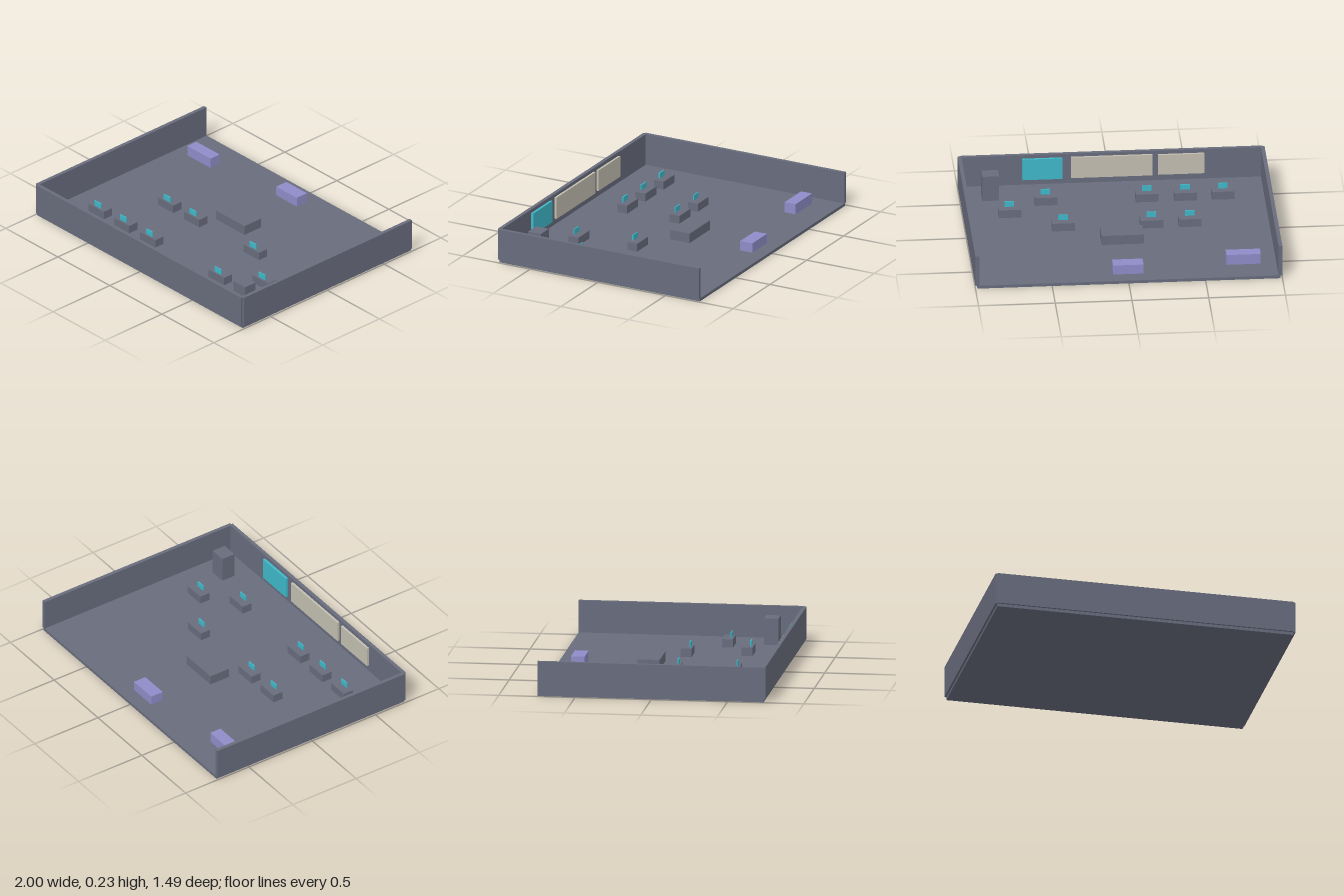
import * as THREE from 'three';

const mat = (name, color) => {
  const m = new THREE.MeshStandardMaterial({ color });
  m.name = name;
  return m;
};

export function createModel() {
  const grey = mat('slate grey', 0x686c7c);
  const violet = mat('soft violet', 0x8f8cc8);
  const cyan = mat('screen cyan', 0x3fb8c8);
  const cream = mat('board cream', 0xc2beb0);
  const model = new THREE.Group();
  model.name = 'officeRoom';

  // Box given by its limits on each axis
  const box = (name, material, [x0, x1], [y0, y1], [z0, z1], parent = model) => {
    const mesh = new THREE.Mesh(new THREE.BoxGeometry(x1 - x0, y1 - y0, z1 - z0), material);
    mesh.position.set((x0 + x1) / 2, (y0 + y1) / 2, (z0 + z1) / 2);
    mesh.name = name;
    parent.add(mesh);
    return mesh;
  };

  // Shell: floor, front wall and two side walls, open at the back
  const floorY = 0.02, wallY = [floorY, 0.232];
  box('floor', grey, [-0.987, 0.987], [0, floorY], [-0.747, 0.735]);
  box('frontWall', grey, [-0.987, 0.987], wallY, [0.722, 0.747]);
  box('leftWall', grey, [0.975, 1], wallY, [-0.747, 0.735]);
  box('rightWall', grey, [-1, -0.975], wallY, [-0.747, 0.735]);

  // Seating, meeting table and cabinet
  box('cornerSofa', violet, [-0.873, -0.65], [floorY, 0.09], [-0.563, -0.483]);
  box('middleSofa', violet, [-0.103, 0.095], [floorY, 0.085], [-0.65, -0.56]);
  box('meetingTable', grey, [-0.14, 0.135], [floorY, 0.085], [-0.208, -0.063]);
  box('cabinet', grey, [0.747, 0.857], [floorY, 0.195], [0.5, 0.595]);

  // Desks, each with a small monitor on the front side
  const desks = [
    [-0.46, 0.052], [-0.21, 0.052], [0.365, 0.052], [0.697, 0.276],
    [-0.705, 0.439], [-0.46, 0.439], [-0.21, 0.439], [0.45, 0.439],
  ];
  for (const [x, z] of desks) {
    const desk = new THREE.Group();
    desk.name = 'workstation';
    desk.position.set(x, 0, z);
    box('desk', grey, [-0.074, 0.074], [floorY, 0.075], [-0.036, 0.036], desk);
    box('monitor', cyan, [-0.031, 0.031], [0.075, 0.112], [0.015, 0.023], desk);
    model.add(desk);
  }

  // Boards and screen on the inside of the front wall
  box('smallBoard', cream, [-0.605, -0.305], [0.065, 0.207], [0.707, 0.722]);
  box('largeBoard', cream, [-0.268, 0.262], [0.062, 0.21], [0.707, 0.722]);
  box('wallScreen', cyan, [0.32, 0.58], [0.06, 0.208], [0.705, 0.722]);

  return model;
}
